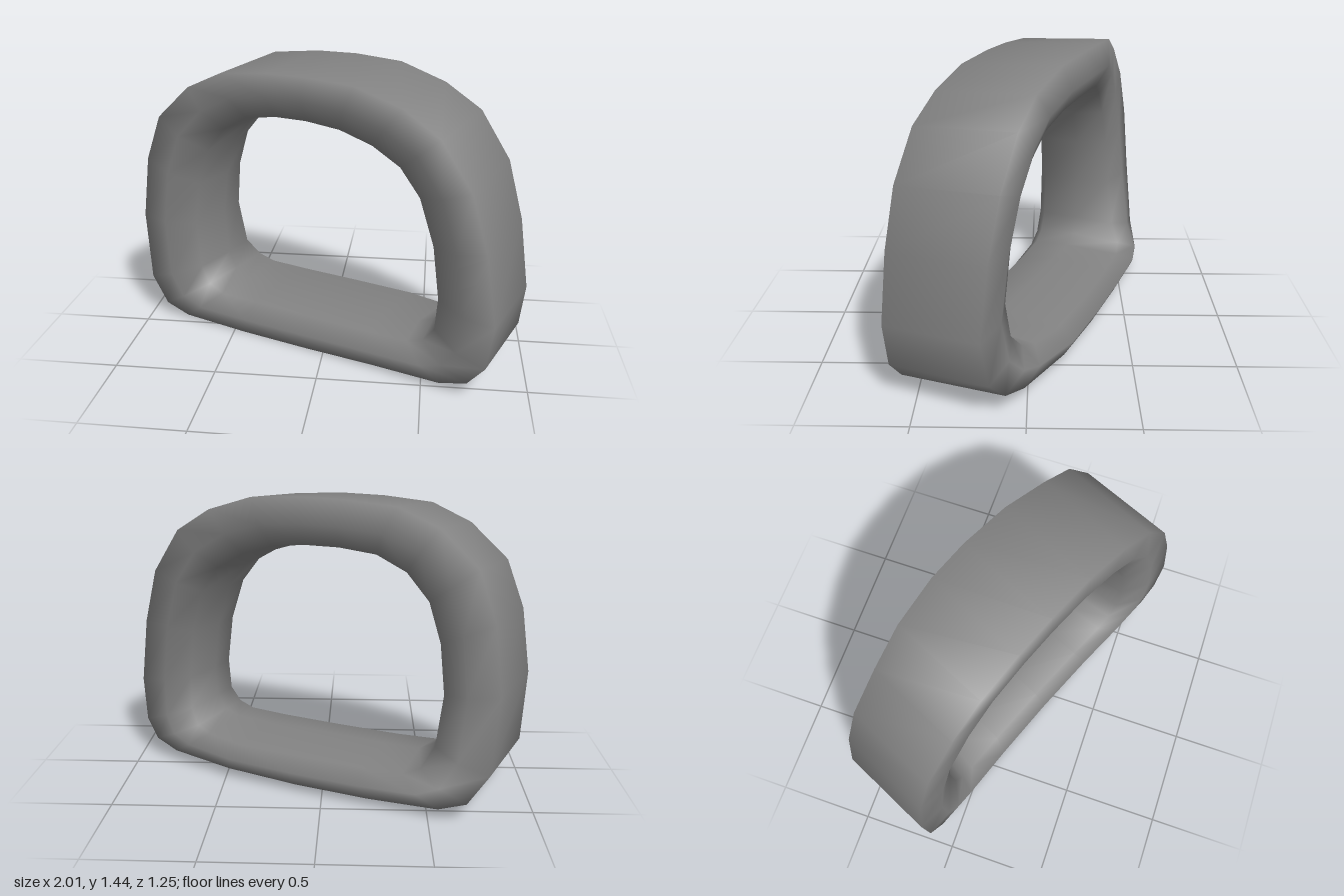
import * as THREE from 'three';

// Stations round the D-shaped loop: [outer u, outer y, inner u, inner y, back depth]
const STATIONS = [
  [0, 0.0, 0, 0.185, 0.385], [0.35, 0.015, 0.3, 0.185, 0.385], [0.68, 0.03, 0.48, 0.19, 0.33],
  [0.81, 0.075, 0.55, 0.22, 0.3], [0.89, 0.18, 0.6, 0.29, 0.26], [0.92, 0.4, 0.61, 0.45, 0.235],
  [0.87, 0.74, 0.58, 0.7, 0.25], [0.79, 1.02, 0.51, 0.92, 0.27], [0.645, 1.245, 0.42, 1.04, 0.28],
  [0.47, 1.36, 0.29, 1.12, 0.28], [0.24, 1.435, 0.14, 1.17, 0.3], [0, 1.45, -0.02, 1.19, 0.31],
  [-0.2, 1.447, -0.17, 1.19, 0.3], [-0.43, 1.425, -0.32, 1.165, 0.26], [-0.61, 1.335, -0.44, 1.09, 0.22],
  [-0.78, 1.16, -0.53, 0.965, 0.2], [-0.86, 0.92, -0.585, 0.78, 0.205], [-0.9, 0.59, -0.61, 0.55, 0.22],
  [-0.88, 0.22, -0.59, 0.32, 0.27], [-0.8, 0.07, -0.55, 0.23, 0.34], [-0.68, 0.02, -0.48, 0.19, 0.365],
  [-0.35, 0.0, -0.3, 0.185, 0.375],
];

// Cross-section: [-1 back to 1 front, share of the thickness from outside to inside]
const SECTION = [
  [-0.9, 0.03], [0.97, 0], [1.04, 0.45], [0.77, 0.9], [0, 1], [-0.8, 0.9], [-1, 0.5],
];

const YAW = THREE.MathUtils.degToRad(23);

function loopGeometry() {
  const positions = [], indices = [];
  const n = STATIONS.length, m = SECTION.length;
  const c = Math.cos(YAW), s = Math.sin(YAW);
  STATIONS.forEach(([ou, oy, iu, iy, back], i) => {
    SECTION.forEach(([f, t], j) => {
      const u = THREE.MathUtils.lerp(ou, iu, t) / c;
      // The front edge sits a little lower than the back
      let y = THREE.MathUtils.lerp(oy, iy, t) * (1 - 0.03 * Math.max(0, f));
      // The underside rises towards the back
      y += 0.035 * Math.max(0, -f) * Math.max(0, 1 - y / 0.2);
      // The front face is hollowed gently in the middle
      const w = f * (f > 0 ? 0.24 + 0.045 * u * u - 0.015 * u : back);
      positions.push(u * c - w * s, y, u * s + w * c);
      const i2 = (i + 1) % n, j2 = (j + 1) % m;
      const a = i * m + j, b = i2 * m + j, d = i * m + j2, e = i2 * m + j2;
      indices.push(a, b, d, b, e, d);
    });
  });
  const geometry = new THREE.BufferGeometry();
  geometry.setAttribute('position', new THREE.Float32BufferAttribute(positions, 3));
  geometry.setIndex(indices);
  geometry.computeVertexNormals();
  return geometry;
}

export function createModel() {
  const group = new THREE.Group();
  group.name = 'loopHandle';
  const material = new THREE.MeshStandardMaterial({ color: 0x828282 });
  // Single rounded band closed into a D-shaped ring
  const ring = new THREE.Mesh(loopGeometry(), material);
  ring.name = 'ringBand';
  group.add(ring);
  return group;
}
